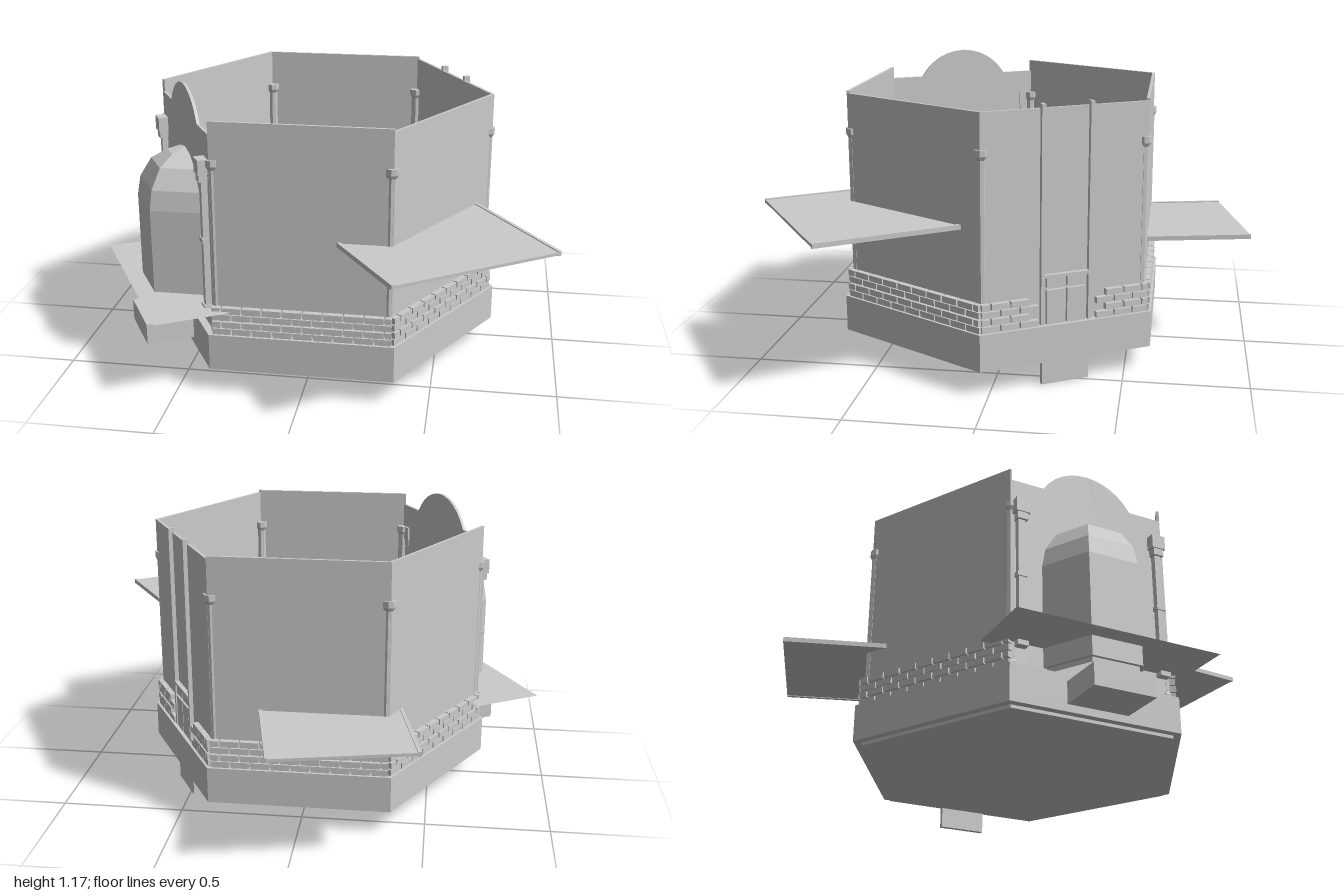
import * as THREE from 'three';

const material = new THREE.MeshStandardMaterial({ color: 0xcccccc, flatShading: true, side: THREE.DoubleSide });
const CZ = 0.03;        // z of the hexagon's centre
const R = 0.695;        // wall circumradius
const APOTHEM = R * Math.cos(Math.PI / 6);

function add(parent, name, geometry, x = 0, y = 0, z = 0, ry = 0) {
  const mesh = new THREE.Mesh(geometry, material);
  mesh.name = name;
  mesh.position.set(x, y, z);
  mesh.rotation.y = ry;
  parent.add(mesh);
  return mesh;
}

// Box given by its lower and upper y
function box(parent, name, w, y0, y1, d, x = 0, z = 0, ry = 0) {
  return add(parent, name, new THREE.BoxGeometry(w, y1 - y0, d), x, (y0 + y1) / 2, z, ry);
}

function group(parent, name, x = 0, y = 0, z = 0, ry = 0) {
  const g = new THREE.Group();
  g.name = name;
  g.position.set(x, y, z);
  g.rotation.y = ry;
  parent.add(g);
  return g;
}

// Hexagonal prism with corners on the x axis
function hexPrism(parent, name, r, y0, y1) {
  const geo = new THREE.CylinderGeometry(r, r, y1 - y0, 6, 1, false, Math.PI / 6);
  return add(parent, name, geo, 0, (y0 + y1) / 2, CZ);
}

// Round post with a wider cap
function post(parent, name, x, z, y0, y1, r) {
  const pts = [[0, y0], [r * 1.3, y0], [r * 1.3, y0 + 0.02], [r, y0 + 0.03], [r, y1 - 0.04],
    [r * 1.4, y1 - 0.025], [r * 1.4, y1], [0, y1]].map(p => new THREE.Vector2(...p));
  add(parent, name, new THREE.LatheGeometry(pts, 8), x, 0, z);
}

// Staggered brick courses along one wall; gap is the half-width left free for the door
function bricks(side, gap) {
  const rows = 4, h = 0.03, len = 0.08, end = 0.352;
  for (let r = 0; r < rows; r++) {
    for (let x = -end - (r % 2) * len / 2; x < end; x += len) {
      const a = Math.max(x, -end), b = Math.min(x + len - 0.006, end);
      if (b - a < 0.015 || (a < gap && b > -gap)) continue;
      const y = 0.25 + r * h;
      box(side, 'brick', b - a, y, y + h - 0.005, 0.03, (a + b) / 2, APOTHEM + 0.005 + (r % 2) * 0.003);
    }
  }
}

// Wall with a rounded gable and an arched opening into the apse
function gableWall(side) {
  const s = new THREE.Shape();
  s.moveTo(-R / 2, 0.09);
  s.lineTo(R / 2, 0.09);
  s.lineTo(R / 2, 1.06);
  s.lineTo(0.2, 1.06);
  s.quadraticCurveTo(0.13, 1.17, 0, 1.175);
  s.quadraticCurveTo(-0.13, 1.17, -0.2, 1.06);
  s.lineTo(-R / 2, 1.06);
  s.closePath();
  const hole = new THREE.Path();
  hole.moveTo(-0.13, 0.35);
  hole.lineTo(-0.13, 0.65);
  hole.absarc(0, 0.65, 0.13, Math.PI, 0, true);
  hole.lineTo(0.13, 0.35);
  hole.closePath();
  s.holes.push(hole);
  const geo = new THREE.ExtrudeGeometry(s, { depth: 0.012, bevelEnabled: false, curveSegments: 6 });
  add(side, 'gableWall', geo, 0, 0, APOTHEM - 0.012);
}

// Half-hexagonal domed apse with its plinth, landing and steps
function apse(side) {
  const profile = [[0.2, 0.25], [0.2, 0.27], [0.215, 0.27], [0.215, 0.7], [0.2, 0.78],
    [0.15, 0.86], [0.08, 0.9], [0, 0.915]].map(p => new THREE.Vector2(...p));
  add(side, 'apseDome', new THREE.LatheGeometry(profile, 3, -Math.PI / 2, Math.PI), 0, 0, APOTHEM - 0.006);
  box(side, 'apsePlinth', 0.26, 0.13, 0.22, 0.25, 0, APOTHEM + 0.1);
  const landing = new THREE.PlaneGeometry(0.856, 0.3).rotateX(-Math.PI / 2);
  add(side, 'landing', landing, -0.02, 0.35, 0.704);
  for (let i = 0; i < 5; i++) {
    box(side, 'step', 0.26, 0.25, 0.27 + i * 0.02, 0.042, 0, 0.38 + i * 0.04);
  }
  for (const m of [-1, 1]) {
    box(side, 'stairRail', 0.02, 0.25, 0.42, 0.2, m * 0.14, 0.44);
    box(side, 'railPost', 0.03, 0.25, 0.45, 0.03, m * 0.14, 0.34);
    // Slender columns with bracket capitals
    const x = m * 0.31, z = APOTHEM + 0.01;
    box(side, 'apseColumn', 0.03, 0.33, 0.96, 0.03, x, z);
    box(side, 'apseColumnBase', 0.045, 0.33, 0.36, 0.045, x, z);
    box(side, 'apseColumnBand', 0.04, 0.62, 0.64, 0.04, x, z);
    box(side, 'apseCapital', 0.06, 0.9, 0.96, 0.06, x, z);
    box(side, 'apseBracket', 0.045, 0.87, 0.9, 0.05, x, z);
  }
}

// Double door with flanking strips and a hanging plate below
function door(side) {
  const z = APOTHEM + 0.004;
  for (const m of [-1, 1]) {
    box(side, 'doorStrip', 0.016, 0.25, 1.118, 0.026, m * 0.1, z);
    box(side, 'doorLeaf', 0.08, 0.25, 0.39, 0.022, m * 0.043, z);
    box(side, 'transomPane', 0.08, 0.4, 0.44, 0.018, m * 0.043, z);
  }
  box(side, 'doorLintel', 0.19, 0.44, 0.452, 0.03, 0, z);
  box(side, 'doorPlate', 0.2, 0, 0.1, 0.02, 0, APOTHEM);
}

// Balcony slab passing through the walls
function balcony(parent, name, w, d, x, y, z, ry) {
  const g = group(parent, name, x, y, z, ry);
  box(g, 'balconyFloor', w, -0.006, 0.006, d);
  for (const m of [-1, 1]) box(g, 'balconyEdge', 0.014, -0.009, 0.01, d, m * (w / 2 - 0.007));
}

export function createModel() {
  const model = new THREE.Group();
  model.name = 'hexagonalTower';

  // Base and floor
  hexPrism(model, 'base', 0.73, 0.1, 0.25);
  hexPrism(model, 'underside', 0.695, 0.087, 0.12);
  const ring = new THREE.Shape(), inner = new THREE.Path();
  for (let i = 0; i < 6; i++) {
    const a = i * Math.PI / 3, c = Math.cos(a), s = Math.sin(a);
    ring[i ? 'lineTo' : 'moveTo'](0.3 * c, 0.3 * s);
    inner[i ? 'lineTo' : 'moveTo'](0.27 * c, 0.27 * s);
  }
  ring.holes.push(inner);
  const ringGeo = new THREE.ExtrudeGeometry(ring, { depth: 0.012, bevelEnabled: false }).rotateX(-Math.PI / 2);
  add(model, 'floorRing', ringGeo, -0.01, 0.25, CZ - 0.01);

  // Six walls, each built facing local +z; side 2 holds the apse, side 5 the door
  for (let i = 0; i < 6; i++) {
    const angle = Math.PI / 6 + i * Math.PI / 3;
    const side = group(model, 'side', 0, 0, CZ, Math.PI / 2 - angle);
    if (i === 2) {
      gableWall(side);
      apse(side);
    } else {
      box(side, 'wall', R, 0.09, i === 0 || i === 5 ? 1.1 : 1.11, 0.012, 0, APOTHEM - 0.006);
      bricks(side, i === 5 ? 0.11 : -1);
      if (i === 5) door(side);
    }
    const c = i * Math.PI / 3;
    post(model, 'cornerPost', 0.676 * Math.cos(c), CZ + 0.676 * Math.sin(c), 0.25, 0.96, 0.02);
  }

  // Two balconies with their posts
  balcony(model, 'rearBalcony', 0.563, 0.655, -0.14, 0.49, -0.62, 0.215);
  for (const [x, z] of [[-0.37, -0.47], [-0.31, -0.27], [-0.09, -0.32], [0.16, -0.38]]) {
    post(model, 'rearBalconyPost', x, z, 0.25, 0.66, 0.022);
  }
  balcony(model, 'frontBalcony', 0.713, 0.705, 0.475, 0.65, 0.497, 0.595);
  for (const [x, z] of [[0.55, 0.05], [0.29, 0.24], [0.02, 0.41]]) {
    post(model, 'frontBalconyPost', x, z, 0.25, 0.83, 0.022);
  }

  // Shelves against the rear wall
  const shelves = group(model, 'shelves', -0.09, 0, -0.55);
  for (let i = 0; i < 5; i++) box(shelves, 'shelf', 0.48, 0.5 + i * 0.055, 0.51 + i * 0.055, 0.04);
  for (let i = 0; i < 7; i++) box(shelves, 'divider', 0.01, 0.5, 0.73, 0.038, -0.235 + i * 0.0783);

  // Curved stair up to the rear balcony
  const stair = group(model, 'curvedStair', 0.19, 0, -0.41);
  const steps = 14;
  for (let i = 0; i < steps; i++) {
    const a = Math.PI / 2 - (i + 0.5) * Math.PI / steps;
    const top = 0.25 + (i + 1) * 0.24 / steps;
    box(stair, 'curvedStep', 0.07, Math.max(0.25, top - 0.05), top, 0.031,
      0.11 * Math.cos(a), 0.11 * Math.sin(a), -a);
  }
  return model;
}
